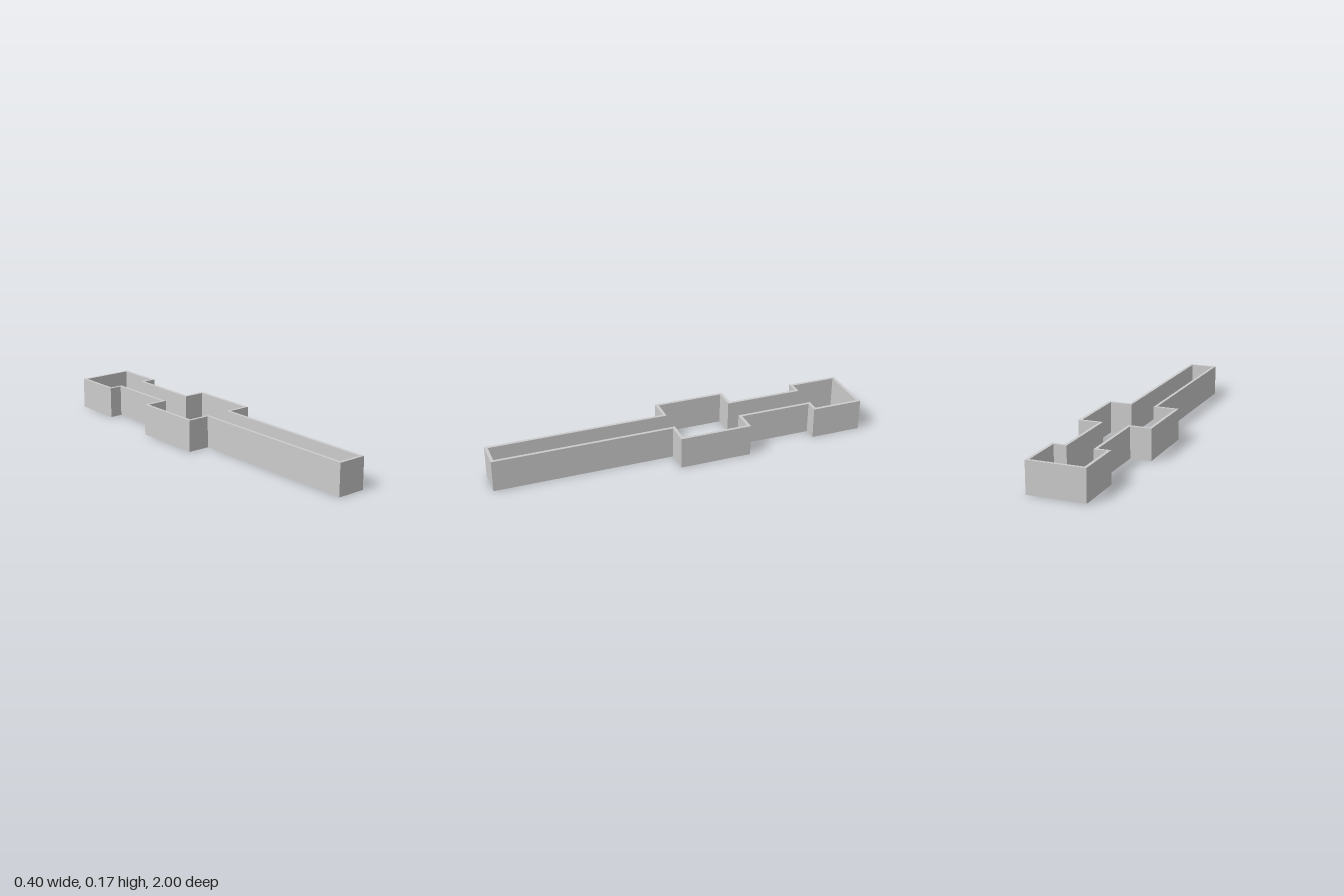
import * as THREE from 'three';

const HEIGHT = 0.168;
const WALL = 0.016;

// Sections from back to front: half width, back z, front z
const SECTIONS = [
  [0.153, -1, -0.725],     // end box
  [0.085, -0.725, -0.339], // neck
  [0.198, -0.339, 0.047],  // middle box
  [0.078, 0.047, 1],       // long channel
];

// Mirrored stepped outline, moved inward by inset
function outline(inset) {
  const side = [];
  SECTIONS.forEach(([w, back, front], i) => {
    const before = SECTIONS[i - 1]?.[0] ?? 0;
    const after = SECTIONS[i + 1]?.[0] ?? 0;
    const z0 = back + (before < w ? inset : -inset);
    const z1 = front + (after < w ? -inset : inset);
    side.push(new THREE.Vector2(w - inset, -z0), new THREE.Vector2(w - inset, -z1));
  });
  const mirrored = side.map((p) => new THREE.Vector2(-p.x, p.y)).reverse();
  return [...side, ...mirrored];
}

export function createModel() {
  const group = new THREE.Group();
  group.name = 'steppedFrame';

  // Thin upright wall, open at top and bottom; the hole winds opposite to the outline
  const shape = new THREE.Shape(outline(0));
  shape.holes.push(new THREE.Path(outline(WALL).reverse()));
  const geometry = new THREE.ExtrudeGeometry(shape, { depth: HEIGHT, bevelEnabled: false });
  geometry.rotateX(-Math.PI / 2);

  const wall = new THREE.Mesh(geometry, new THREE.MeshStandardMaterial({ color: 0xcccccc, flatShading: true }));
  wall.name = 'perimeterWall';
  group.add(wall);
  return group;
}
